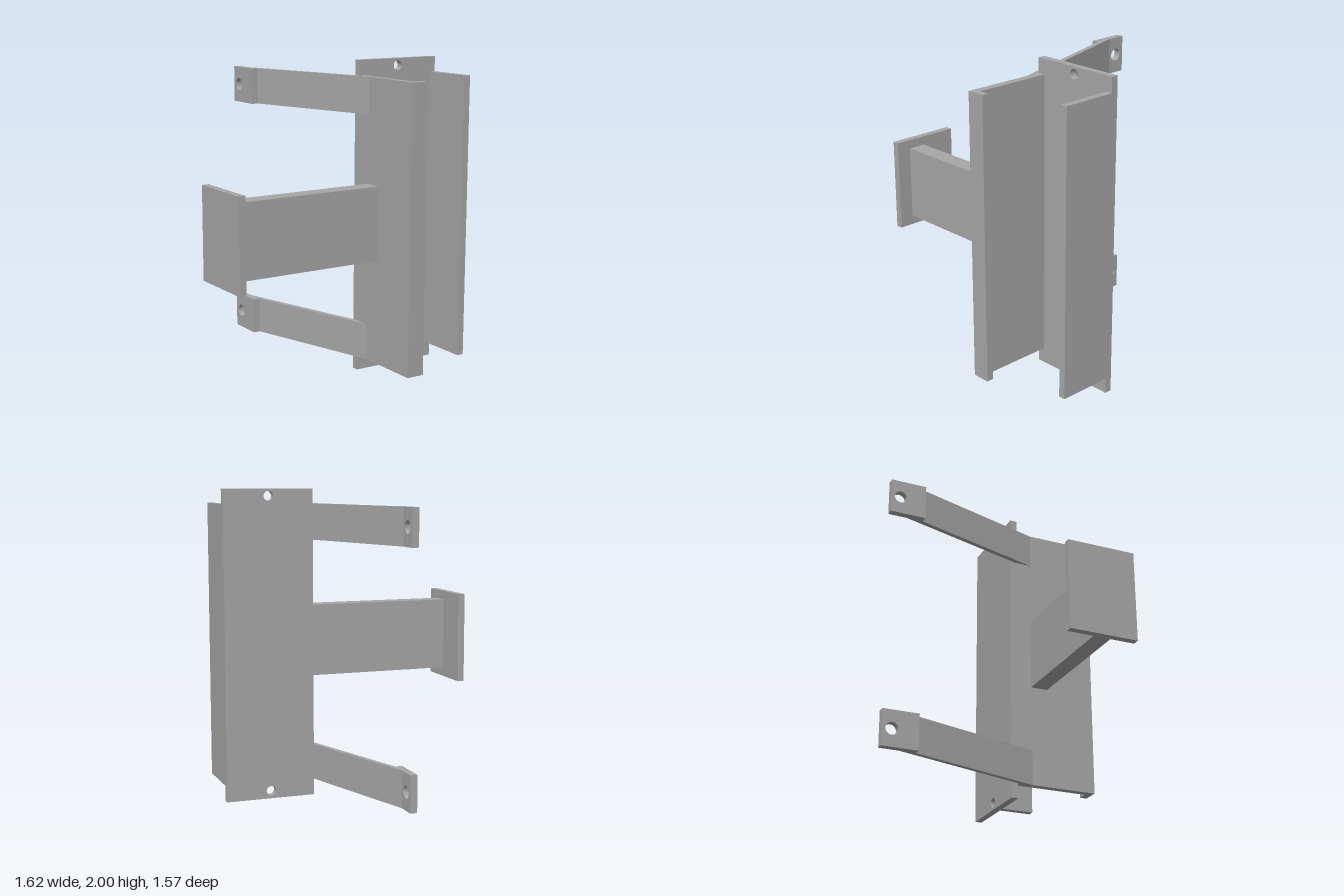
import * as THREE from 'three';

const grey = new THREE.MeshStandardMaterial({ color: 0xa6a6a6 });
grey.name = 'steel grey';

// Box given by its limits on each axis
function block(name, [x0, x1], [y0, y1], [z0, z1]) {
  const geo = new THREE.BoxGeometry(x1 - x0, y1 - y0, z1 - z0);
  geo.translate((x0 + x1) / 2, (y0 + y1) / 2, (z0 + z1) / 2);
  const mesh = new THREE.Mesh(geo, grey);
  mesh.name = name;
  return mesh;
}

// Flat rectangle with round holes, extruded along +z
function drilledPlate([u0, u1], [v0, v1], holes, radius, depth) {
  const shape = new THREE.Shape([[u0, v0], [u1, v0], [u1, v1], [u0, v1]].map(p => new THREE.Vector2(...p)));
  for (const [u, v] of holes) shape.holes.push(new THREE.Path().absarc(u, v, radius, 0, Math.PI * 2, true));
  return new THREE.ExtrudeGeometry(shape, { depth, bevelEnabled: false, curveSegments: 24 });
}

// Upright outline in x and z, extruded from y0 to y1
function prism(points, y0, y1) {
  const shape = new THREE.Shape(points.map(([x, z]) => new THREE.Vector2(x, -z)));
  return new THREE.ExtrudeGeometry(shape, { depth: y1 - y0, bevelEnabled: false })
    .rotateX(-Math.PI / 2).translate(0, y0, 0);
}

// Slanted strut with a drilled mounting tab at its rear end
function bracket(name, y0, y1, holeY) {
  const group = new THREE.Group();
  group.name = name;
  const strut = new THREE.Mesh(
    prism([[-0.05, -0.66], [-0.05, -0.55], [0.222, 0.34], [0.222, 0.23]], y0, y1), grey);
  strut.name = 'strut';
  const tabGeo = drilledPlate([-0.785, -0.55], [y0, y1], [[-0.72, holeY]], 0.04, 0.045)
    .rotateY(-Math.PI / 2).translate(-0.05, 0, 0);
  const tab = new THREE.Mesh(tabGeo, grey);
  tab.name = 'mountingTab';
  group.add(strut, tab);
  return group;
}

export function createModel() {
  const model = new THREE.Group();
  model.name = 'mountingBracket';
  const span = [0.1, 1.905];

  // Tall back plate with a bolt hole at each end
  const plate = new THREE.Mesh(
    drilledPlate([0.222, 0.81], [0, 2], [[0.515, 0.05], [0.515, 1.955]], 0.031, 0.045).translate(0, 0, 0.191), grey);
  plate.name = 'backPlate';
  model.add(plate);

  // Plain flange on the left, lipped flange on the right
  model.add(block('leftFlange', [0.765, 0.81], span, [0.236, 0.59]));
  const lipped = new THREE.Mesh(prism(
    [[0.222, 0.236], [0.222, 0.78], [0.338, 0.78], [0.338, 0.735], [0.27, 0.735], [0.27, 0.236]], ...span), grey);
  lipped.name = 'lippedFlange';
  model.add(lipped);

  // Side arm with its end plate
  model.add(block('sideArm', [-0.768, 0.222], [0.77, 1.24], [0.335, 0.45]));
  model.add(block('armEndPlate', [-0.813, -0.768], [0.71, 1.297], [0.1, 0.545]));

  // Rear brackets
  model.add(bracket('lowerBracket', 0.1, 0.333, 0.215));
  model.add(bracket('upperBracket', 1.673, 1.905, 1.79));
  return model;
}
